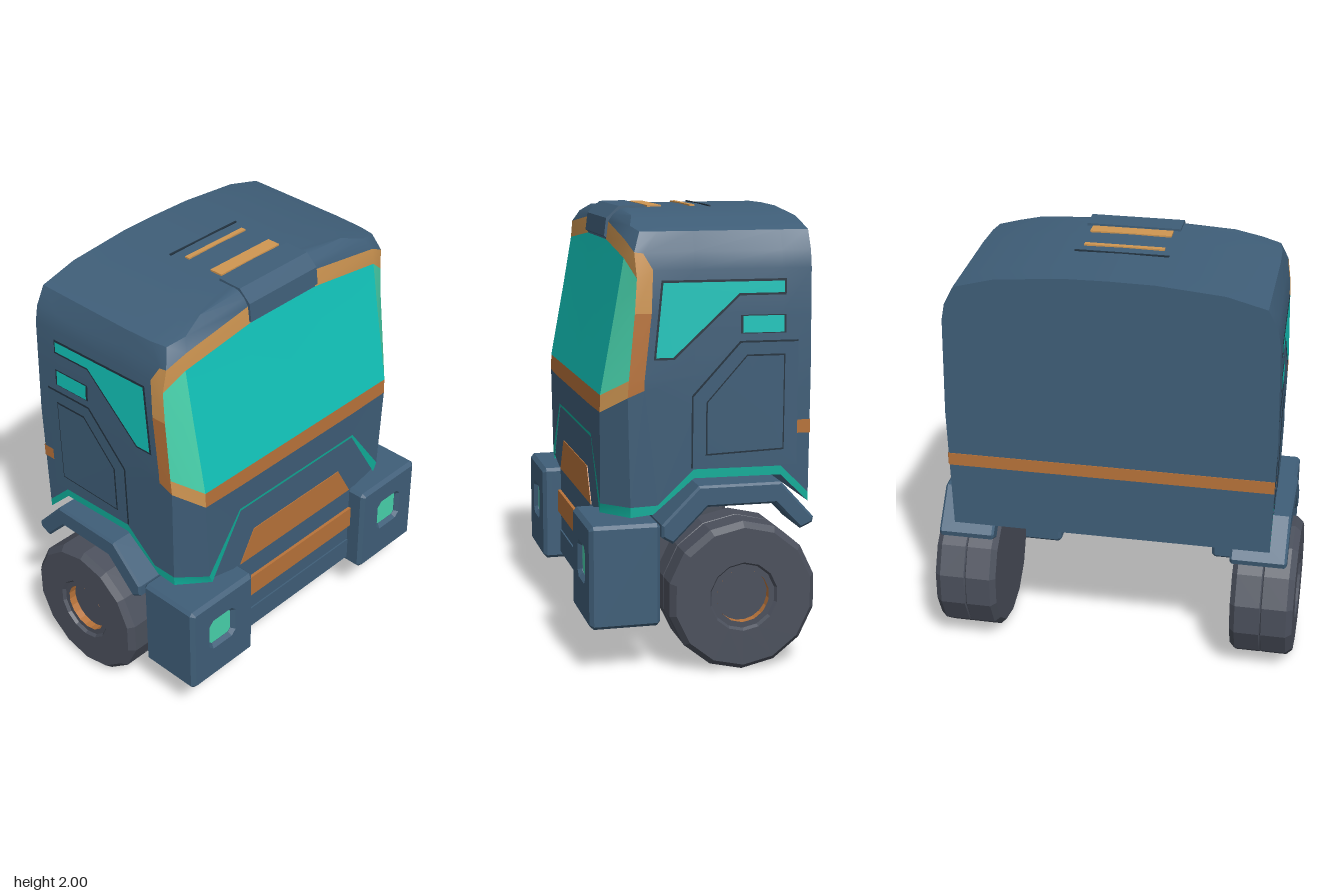
import * as THREE from 'three';
import { toCreasedNormals } from 'three/addons/utils/BufferGeometryUtils.js';

const mat = (name, color) => {
  const m = new THREE.MeshStandardMaterial({ color, side: THREE.DoubleSide });
  m.name = name;
  return m;
};
const M = {
  B: mat('bodyBlue', 0x3f5e78), D: mat('grooveDark', 0x22323f),
  O: mat('orange', 0xb8733a), L: mat('lightOrange', 0xcf9652),
  G: mat('tealGlass', 0x12c4ba), M: mat('mintGlass', 0x48d2ac),
  T: mat('tealTrim', 0x10ae9a), K: mat('tyreGrey', 0x4b505c),
};

function add(parent, name, geo, key, x = 0, y = 0, z = 0) {
  const m = new THREE.Mesh(geo, M[key]);
  m.name = name;
  m.position.set(x, y, z);
  parent.add(m);
  return m;
}
const shapeOf = pts => new THREE.Shape(pts.map(p => new THREE.Vector2(...p)));
const box = (w, h, d) => new THREE.BoxGeometry(w, h, d);

// Extrusion with its chamfer kept inside the given outline and depth
function bevelled(shape, depth, b) {
  const g = new THREE.ExtrudeGeometry(shape, {
    depth: depth - 2 * b, bevelEnabled: b > 0, bevelThickness: b, bevelSize: b, bevelOffset: -b, bevelSegments: 1,
  });
  return g.translate(0, 0, b);
}
// Extrudes a (z, y) profile across x, ending at x1
const acrossX = (pts, x1, depth, b = 0) => bevelled(shapeOf(pts), depth, b).rotateY(-Math.PI / 2).translate(x1, 0, 0);

// Rectangle with cut corners
const cutRect = (cx, cy, w, h, c) => [
  [cx - w + c, cy - h], [cx + w - c, cy - h], [cx + w, cy - h + c], [cx + w, cy + h - c],
  [cx + w - c, cy + h], [cx - w + c, cy + h], [cx - w, cy + h - c], [cx - w, cy - h + c],
];

// Half width of the cab wall at height y and depth z
const KNOTS = [[0.6, 0.732], [1.3, 0.748], [1.755, 0.738], [1.84, 0.722]];
function wall(y, z) {
  let i = 0;
  while (i < 2 && y > KNOTS[i + 1][0]) i++;
  const [y0, x0] = KNOTS[i], [y1, x1] = KNOTS[i + 1];
  return x0 + (x1 - x0) * (y - y0) / (y1 - y0) - 0.03 * (z + 0.5) / 0.8;
}

// Thin plate lying on the side wall, outlined in (z, y)
function sidePlate(parent, name, pts, key, lift, k = 1) {
  const cz = pts.reduce((s, p) => s + p[0], 0) / pts.length;
  const cy = pts.reduce((s, p) => s + p[1], 0) / pts.length;
  const g = new THREE.ShapeGeometry(shapeOf(pts.map(([z, y]) => [-(cz + (z - cz) * k), cy + (y - cy) * k])));
  const p = g.attributes.position;
  for (let i = 0; i < p.count; i++) {
    const z = -p.getX(i), y = p.getY(i);
    p.setXYZ(i, wall(y, z) + lift, y, z);
  }
  g.computeVertexNormals();
  add(parent, name, g, key);
}

// Cab shell: rings from the bottom edge to the roof, each from back corner to front centre
const ZS = [-0.497, -0.37, 0.02];
function ring(ys, trim, pillar, corner, front) {
  const s = (z, y) => [wall(y, z), y, z];
  return [...ZS.map((z, i) => s(z, ys[i] ?? ys[0])), s(...trim), s(...pillar), corner, front, [0, front[1], front[2]]];
}
function roofRing(x, y, cornerX, zf, frontX = 0.21, dy = 0.03) {
  return [...ZS.map(z => [x, y, z]), [x * 0.99, y, 0.17], [x * 0.97, y, zf - 0.02],
    [cornerX, y + dy * 0.4, zf], [frontX, y + dy, zf], [0, y + dy, zf]];
}
const RINGS = [
  ring([0.72, 0.845, 0.845], [0.2, 0.69], [0.3, 0.68], [0.57, 0.68, 0.41], [0.385, 0.985, 0.41]),
  ring([0.76, 0.885, 0.885], [0.18, 0.73], [0.3, 0.725], [0.59, 0.725, 0.411], [0.39, 0.998, 0.411]),
  ring([1.13], [0.24, 1.24], [0.313, 1.21], [0.61, 1.135, 0.414], [0.38, 1.13, 0.414]),
  ring([1.3], [0.24, 1.28], [0.308, 1.285], [0.61, 1.21, 0.412], [0.3, 1.21, 0.412]),
  ring([1.57], [0.207, 1.57], [0.28, 1.57], [0.61, 1.57, 0.345], [0.25, 1.57, 0.345]),
  ring([1.755], [0.2, 1.755], [0.27, 1.72], [0.61, 1.8, 0.305], [0.21, 1.85, 0.298]),
  ring([1.83], [0.24, 1.825], [0.278, 1.83], [0.6, 1.88, 0.3], [0.21, 1.93, 0.288]),
  roofRing(0.68, 1.915, 0.57, 0.268, 0.21, 0.045),
  roofRing(0.5, 1.963, 0.45, 0.235, 0.21, 0.022),
  roofRing(0.2, 1.99, 0.2, 0.205, 0.2, 0.003),
  roofRing(0, 1.993, 0, 0.205, 0, 0),
];
const CELLS = ['TTTTTTT', 'BBBBBBB', 'BBBOLOO', 'BBBOMGG', 'BBBLMGG', 'BBBLLLB', 'BBBBBBB', 'BBBBBBB', 'BBBBBBB', 'BBBBBBB'];
const SHELL_NAMES = { B: 'cabShell', T: 'lowerTrim', O: 'windscreenSurround', L: 'windscreenUpperSurround', G: 'windscreen', M: 'windscreenCorner' };

function cabShell(parent) {
  const buckets = {};
  const tri = (out, ...pts) => {
    const [a, b, c] = pts.map(p => new THREE.Vector3(...p));
    if (b.sub(a).cross(c.sub(a)).length() > 1e-6) out.push(...pts.flat());
  };
  CELLS.forEach((row, r) => [...row].forEach((key, c) => {
    const out = (buckets[key] ??= []);
    const a = RINGS[r][c], b = RINGS[r + 1][c], d = RINGS[r][c + 1], e = RINGS[r + 1][c + 1];
    tri(out, a, b, d);
    tri(out, b, e, d);
  }));
  for (const key in buckets) {
    const g = new THREE.BufferGeometry();
    g.setAttribute('position', new THREE.Float32BufferAttribute(buckets[key], 3));
    add(parent, SHELL_NAMES[key], toCreasedNormals(g, 0.5), key);
  }
  // Flat back wall
  const back = RINGS.map(r => [-r[0][0], r[0][1]]);
  add(parent, 'backWall', new THREE.ShapeGeometry(shapeOf([[0, 0.72], ...back])).rotateY(Math.PI), 'B', 0, 0, -0.497);
}

function sideDetails(parent) {
  const win = [[0.165, 1.71], [-0.385, 1.71], [-0.385, 1.64], [-0.18, 1.64], [0.11, 1.37], [0.2, 1.37]];
  const glass = [[0.157, 1.7], [-0.377, 1.7], [-0.377, 1.65], [-0.176, 1.65], [0.115, 1.38], [0.19, 1.38]];
  sidePlate(parent, 'sideWindowFrame', win, 'D', 0.003);
  sidePlate(parent, 'sideWindow', glass, 'G', 0.005);
  const slot = [[-0.183, 1.556], [-0.385, 1.556], [-0.385, 1.475], [-0.183, 1.475]];
  sidePlate(parent, 'slotWindowFrame', slot, 'D', 0.003);
  sidePlate(parent, 'slotWindow', slot, 'G', 0.005, 0.9);
  // Door outline and its raised panel
  sidePlate(parent, 'doorGroove', [[0.033, 0.89], [0.033, 1.21], [-0.18, 1.444], [-0.44, 1.444], [-0.44, 0.89]], 'D', 0.003);
  sidePlate(parent, 'door', [[0.026, 0.89], [0.026, 1.206], [-0.183, 1.436], [-0.44, 1.436], [-0.44, 0.89]], 'B', 0.005);
  const panel = [[-0.03, 0.945], [-0.03, 1.18], [-0.21, 1.385], [-0.38, 1.385], [-0.38, 0.96]];
  sidePlate(parent, 'doorPanelGroove', panel, 'D', 0.007);
  sidePlate(parent, 'doorPanel', panel, 'B', 0.009, 0.965);
  sidePlate(parent, 'sideStripe', [[-0.44, 1.09], [-0.498, 1.09], [-0.498, 1.03], [-0.44, 1.03]], 'O', 0.004);
}

// Headlight pod: solid block with a bevelled, recessed front
function headlightPod(parent) {
  const outline = cutRect(0.59, 0.44, 0.2, 0.23, 0.015);
  add(parent, 'bumperBlock', bevelled(shapeOf(outline), 0.285, 0.015), 'B', 0, 0, 0.185);
  const face = shapeOf(outline);
  face.holes.push(new THREE.Path(cutRect(0.597, 0.47, 0.068, 0.068, 0.015).map(p => new THREE.Vector2(...p))));
  add(parent, 'bumperFace', bevelled(face, 0.1, 0.018), 'B', 0, 0, 0.399);
  add(parent, 'headlight', box(0.14, 0.14, 0.008), 'M', 0.597, 0.47, 0.475);
}

function wheel(parent) {
  const g = new THREE.Group();
  g.name = 'wheel';
  g.position.set(0, 0.335, -0.172);
  parent.add(g);
  const lathe = (pts, n) => toCreasedNormals(
    new THREE.LatheGeometry(pts.map(p => new THREE.Vector2(...p)), n, Math.PI / n).rotateZ(-Math.PI / 2), 0.3);
  add(g, 'tyre', lathe([[0, 0.56], [0.31, 0.56], [0.335, 0.585], [0.335, 0.7], [0.328, 0.705], [0.335, 0.71],
    [0.335, 0.825], [0.31, 0.853], [0.155, 0.853], [0.145, 0.838], [0.12, 0.838]], 14), 'K');
  add(g, 'hubRim', lathe([[0.12, 0.838], [0.12, 0.79]], 20), 'O');
  add(g, 'hubCap', new THREE.CircleGeometry(0.122, 20).rotateY(Math.PI / 2), 'K', 0.8);
}

function half(side) {
  const g = new THREE.Group();
  g.name = side > 0 ? 'leftHalf' : 'rightHalf';
  g.scale.x = side;
  cabShell(g);
  sideDetails(g);
  headlightPod(g);
  wheel(g);
  // Angled mudguard over the wheel
  const arch = [[0.185, 0.665], [0.02, 0.83], [-0.35, 0.83], [-0.5, 0.665], [-0.495, 0.64], [-0.44, 0.615],
    [-0.325, 0.735], [-0.02, 0.735], [0.135, 0.58], [0.185, 0.61]];
  add(g, 'mudguard', acrossX(arch, 0.813, 0.26, 0.01), 'B');
  return g;
}

export function createModel() {
  const model = new THREE.Group();
  model.name = 'truckCab';
  model.add(half(1), half(-1));

  // Nose panel with a trapezoid grille opening
  const nose = shapeOf([[-0.56, 0.7], [-0.39, 0.66], [0.39, 0.66], [0.56, 0.7], [0.385, 0.987], [-0.385, 0.987]]);
  const trap = [[-0.385, 0.67], [0.385, 0.67], [0.295, 0.83], [-0.295, 0.83]];
  nose.holes.push(new THREE.Path(trap.map(p => new THREE.Vector2(...p))));
  add(model, 'nosePanel', bevelled(nose, 0.02, 0), 'B', 0, 0, 0.388);
  add(model, 'upperGrille', bevelled(shapeOf(trap), 0.02, 0), 'O', 0, 0, 0.392);
  // Stacked bumper bars
  for (const [name, y0, y1, z, key] of [['upperBar', 0.56, 0.67, 0.41, 'B'], ['grilleBar', 0.45, 0.56, 0.425, 'O'],
    ['middleBar', 0.357, 0.45, 0.41, 'B'], ['lowerBar', 0.243, 0.354, 0.415, 'B']])
    add(model, name, box(0.8, y1 - y0, 0.03), key, 0, (y0 + y1) / 2, z - 0.015);

  // Roof cap, vents and rear stripe
  add(model, 'roofCap', acrossX([[0.295, 1.855], [0.308, 1.865], [0.298, 1.945], [0.24, 1.998], [0.12, 2], [0.12, 1.97], [0.2, 1.96]], 0.215, 0.43), 'B');
  add(model, 'frontRoofVent', box(0.37, 0.008, 0.065), 'L', 0, 1.994, 0.07);
  add(model, 'rearRoofVent', box(0.36, 0.008, 0.024), 'L', 0, 1.994, -0.11);
  add(model, 'roofGroove', box(0.42, 0.006, 0.009), 'D', 0, 1.993, -0.185);
  add(model, 'rearStripe', box(1.485, 0.06, 0.004), 'O', 0, 1.06, -0.498);
  return model;
}
